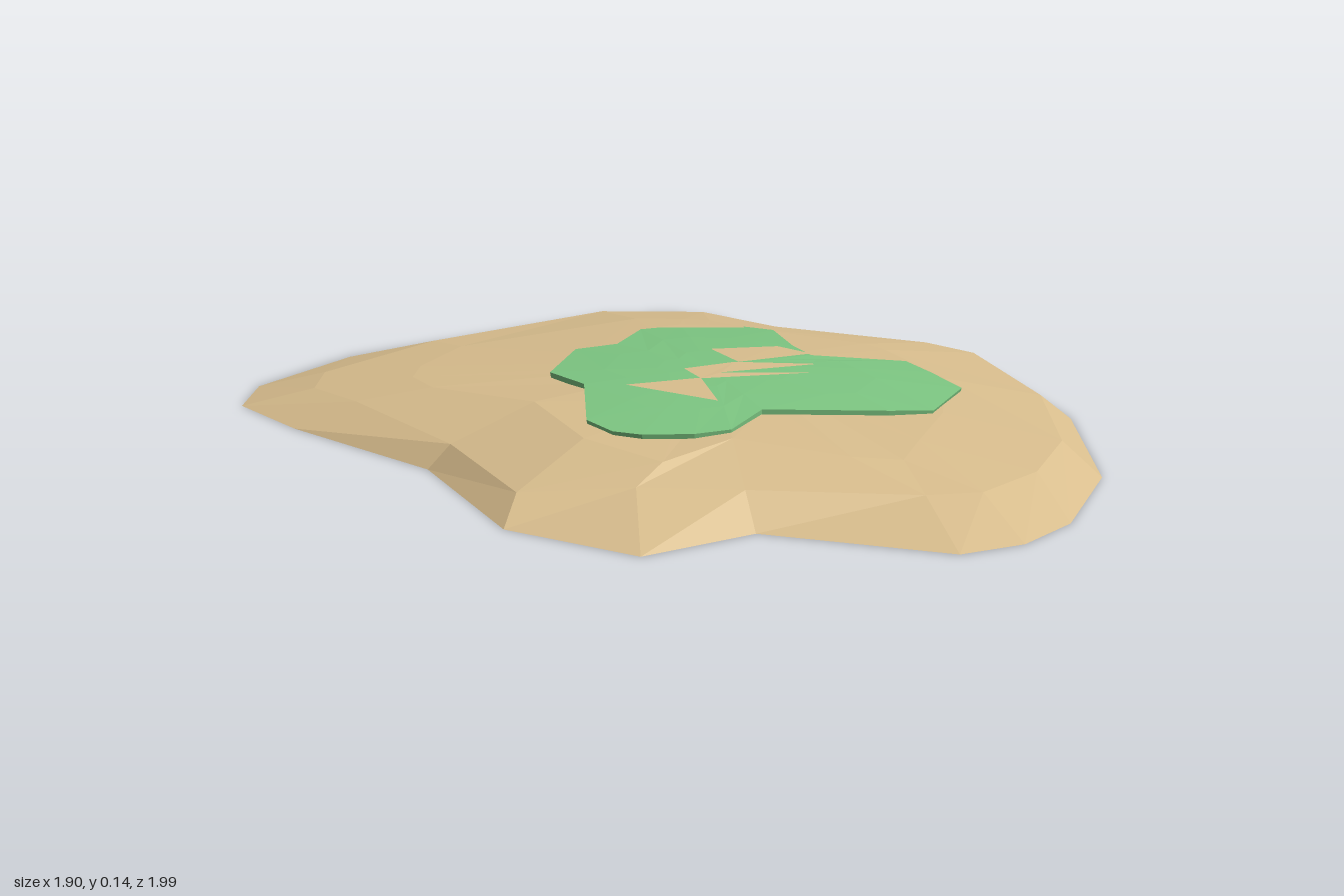
import * as THREE from 'three';

const sand = new THREE.MeshStandardMaterial({ color: 0xd9be8e, flatShading: true });
sand.name = 'sand';
const grass = new THREE.MeshStandardMaterial({ color: 0x7dc682, flatShading: true });
grass.name = 'grass';

// Height of the gentle dome shared by the grass and the upper sand
const dome = (x, z) => 0.133 - 0.1 * ((x - 0.1) ** 2 + (z - 0.05) ** 2);

// Scale an outline towards a centre and lay it on the dome, offset by lift
const domeRing = (outline, [cx, cz], scaleOf, lift) => outline.map(([px, pz], i) => {
  const k = scaleOf(i);
  const x = cx + (px - cx) * k, z = cz + (pz - cz) * k;
  return [x, dome(x, z) + lift, z];
});

// Join rings (outermost first, clockwise from above) and close with a centre point
function loft(rings, top, bottom) {
  const pos = [];
  const tri = (...pts) => pts.forEach((p) => pos.push(...p));
  const n = rings[0].length;
  for (let i = 0; i < n; i++) {
    const j = (i + 1) % n;
    for (let r = 0; r < rings.length - 1; r++) {
      const a = rings[r], b = rings[r + 1];
      tri(a[j], a[i], b[i]);
      tri(a[j], b[i], b[j]);
    }
    const last = rings[rings.length - 1];
    tri(last[j], last[i], top);
    if (bottom) tri(rings[0][i], rings[0][j], bottom);
  }
  const geo = new THREE.BufferGeometry();
  geo.setAttribute('position', new THREE.Float32BufferAttribute(pos, 3));
  geo.computeVertexNormals();
  return geo;
}

function addMesh(group, name, geometry, material) {
  const mesh = new THREE.Mesh(geometry, material);
  mesh.name = name;
  group.add(mesh);
}

// Shoreline as [x, z]
const shore = [
  [-0.04, -1], [0.14, -1], [0.24, -0.94], [0.4, -0.62], [0.78, -0.44], [0.85, -0.34],
  [0.95, 0.07], [0.91, 0.52], [0.77, 0.82], [0.65, 0.94], [0.51, 0.99], [0.13, 0.83],
  [-0.11, 0.95], [-0.37, 0.76], [-0.52, 0.34], [-0.82, 0], [-0.95, -0.2], [-0.92, -0.37],
  [-0.71, -0.63],
];
// Shoulder of the beach as [x, y, z]
const shoulder = [
  [-0.06, 0.03, -0.93], [0.12, 0.03, -0.91], [0.2, 0.035, -0.88], [0.35, 0.07, -0.57],
  [0.7, 0.065, -0.4], [0.8, 0.06, -0.31], [0.88, 0.055, 0.06], [0.84, 0.06, 0.44],
  [0.74, 0.055, 0.64], [0.6, 0.055, 0.77], [0.48, 0.055, 0.78], [0.12, 0.06, 0.73],
  [-0.1, 0.065, 0.71], [-0.34, 0.045, 0.66], [-0.47, 0.05, 0.32], [-0.68, 0.055, -0.02],
  [-0.78, 0.045, -0.18], [-0.76, 0.045, -0.32], [-0.5, 0.06, -0.54],
];
// Edge of the grass as [x, z]
const meadow = [
  [0, -0.41], [0.1, -0.45], [0.25, -0.43], [0.32, -0.38], [0.34, -0.18], [0.37, -0.08],
  [0.59, -0.07], [0.63, 0.02], [0.68, 0.14], [0.58, 0.33], [0.48, 0.35], [0.2, 0.36],
  [0.12, 0.48], [0.04, 0.5], [-0.07, 0.49], [-0.13, 0.46], [-0.18, 0.38], [-0.17, 0.13],
  [-0.24, 0.01], [-0.17, -0.2], [-0.07, -0.23],
];
// Bare sand showing through the grass as [x, z]
const bareSpots = [
  [[-0.08, 0.17], [0.09, 0.14], [0.11, 0.31]],
  [[0.06, 0.06], [0.18, 0.01], [0.37, 0.02], [0.14, 0.1], [0.34, 0.1], [0.09, 0.145]],
  [[0.14, -0.12], [0.3, -0.15], [0.37, -0.08], [0.19, 0.01]],
  [[0.02, -0.405], [0.1, -0.44], [0.25, -0.425], [0.25, -0.39]],
];

export function createModel() {
  const island = new THREE.Group();
  island.name = 'island';

  // Sand mound with a flat underside
  const centre = [0.1, 0];
  addMesh(island, 'sandMound', loft([
    shore.map(([x, z]) => [x, 0, z]),
    shoulder,
    domeRing(shore, centre, (i) => (i % 3 ? 0.62 : 0.66), -0.006),
    domeRing(shore, centre, () => 0.3, -0.012),
  ], [0.1, 0.118, 0], [0.1, 0, 0]), sand);

  // Grass cap with a short edge
  const heart = [0.12, 0.05];
  addMesh(island, 'grassCap', loft([
    domeRing(meadow, heart, () => 0.99, -0.02),
    domeRing(meadow, heart, () => 1, 0),
    domeRing(meadow, heart, () => 0.66, 0),
    domeRing(meadow, heart, () => 0.33, 0),
  ], [0.12, 0.133, 0.05]), grass);

  // Thin bare patches lying on the grass
  bareSpots.forEach((spot, i) => {
    const shape = new THREE.Shape(spot.map(([x, z]) => new THREE.Vector2(x, -z)));
    const geo = new THREE.ShapeGeometry(shape).rotateX(-Math.PI / 2);
    const p = geo.attributes.position;
    for (let v = 0; v < p.count; v++) p.setY(v, dome(p.getX(v), p.getZ(v)) + 0.004);
    geo.computeVertexNormals();
    addMesh(island, `barePatch${i + 1}`, geo, sand);
  });

  return island;
}
